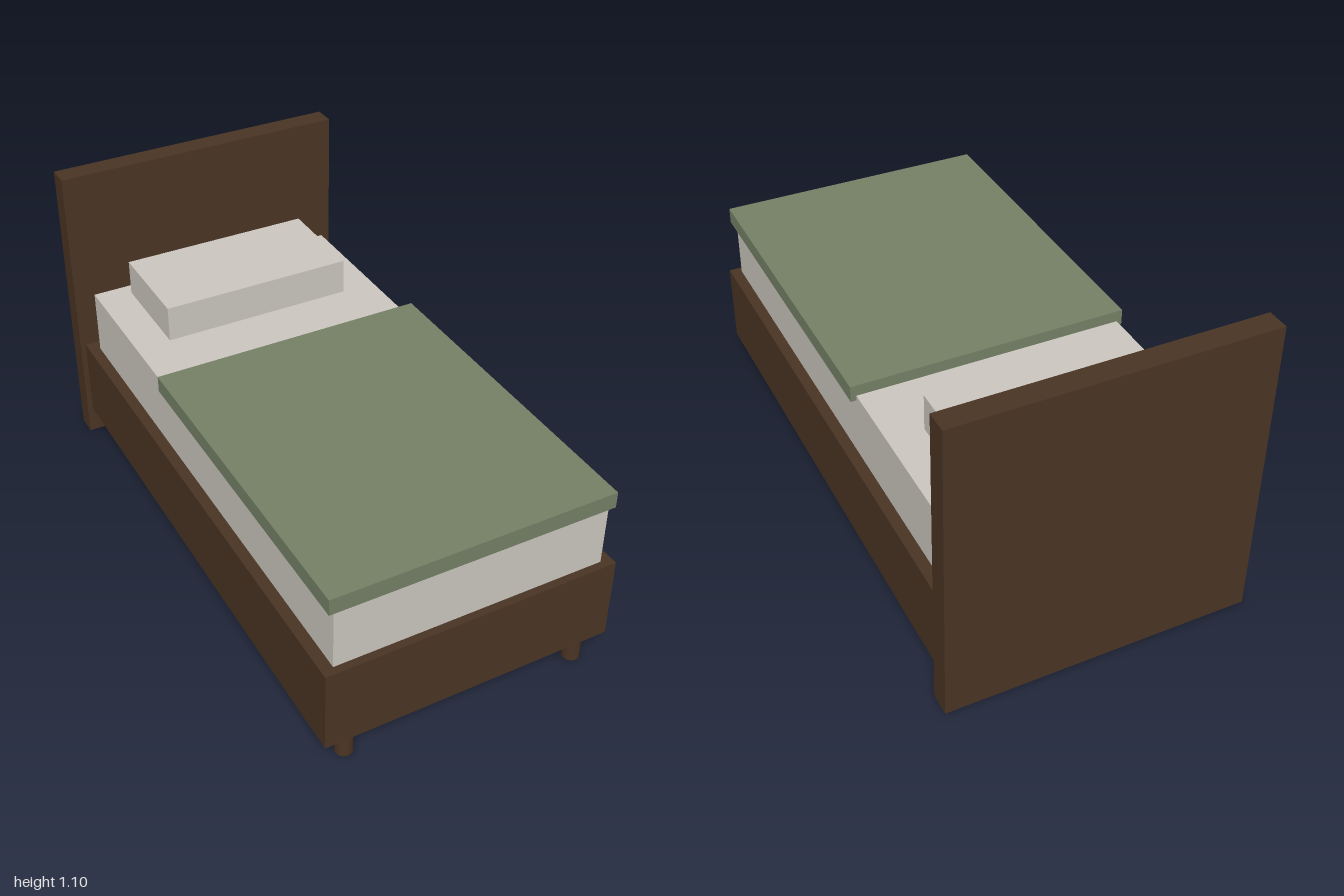
import * as THREE from 'three';

function material(name, color) {
  const m = new THREE.MeshStandardMaterial({ color });
  m.name = name;
  return m;
}

export function createModel() {
  const group = new THREE.Group();
  group.name = 'bed';

  const wood = material('dark wood', 0x4a3423);
  const linen = material('off-white linen', 0xcbc6be);
  const green = material('sage green', 0x748066);

  // Box centred on x, given its width and its y and z ranges
  function slab(name, mat, width, [y0, y1], [z0, z1]) {
    const mesh = new THREE.Mesh(new THREE.BoxGeometry(width, y1 - y0, z1 - z0), mat);
    mesh.position.set(0, (y0 + y1) / 2, (z0 + z1) / 2);
    mesh.name = name;
    group.add(mesh);
  }

  slab('headboard', wood, 1.064, [0, 1.096], [-1, -0.922]);
  slab('frame', wood, 1.024, [0.1, 0.4], [-0.922, 1]);
  slab('mattress', linen, 0.945, [0.4, 0.638], [-0.872, 0.973]);
  slab('pillow', linen, 0.694, [0.638, 0.768], [-0.822, -0.463]);
  slab('blanket', green, 0.984, [0.62, 0.678], [-0.222, 0.982]);

  // Round legs under the four corners
  const legGeometry = new THREE.CylinderGeometry(0.03, 0.03, 0.1, 24);
  for (const x of [-0.422, 0.422]) {
    for (const z of [-0.89, 0.952]) {
      const leg = new THREE.Mesh(legGeometry, wood);
      leg.position.set(x, 0.05, z);
      leg.name = (z > 0 ? 'front' : 'back') + (x > 0 ? 'Left' : 'Right') + 'Leg';
      group.add(leg);
    }
  }

  return group;
}
